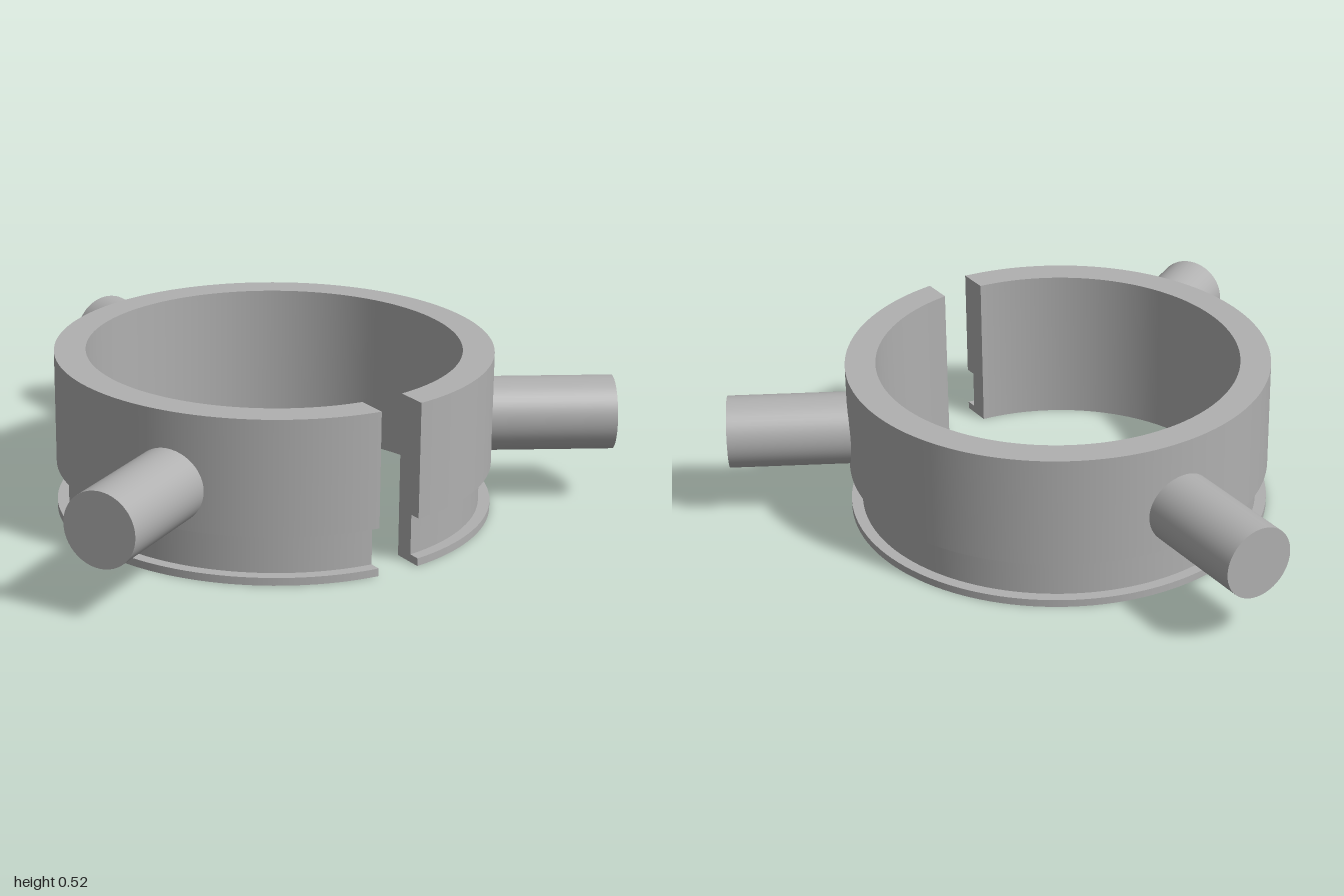
import * as THREE from 'three';

const CENTRE_Z = 0.195;   // ring axis
const HALF_SLOT = 0.072;  // half width of the parallel-sided front slot
const OUTER = 0.697, INNER = 0.597, GROOVE = 0.66;

// Sweeps a (radius, height) profile round the y axis, leaving the slot open at +z.
function splitRing(profile, steps) {
  const pos = [], nor = [], idx = [];
  const point = ([r, y], t) => {
    const a0 = Math.asin(HALF_SLOT / r);
    const a = a0 + (2 * Math.PI - 2 * a0) * t;
    return [r * Math.sin(a), y, r * Math.cos(a), a];
  };
  // Walls: smooth round the ring, sharp between profile edges
  profile.forEach((p, i) => {
    const q = profile[(i + 1) % profile.length];
    const len = Math.hypot(q[0] - p[0], q[1] - p[1]);
    const nr = (q[1] - p[1]) / len, ny = -(q[0] - p[0]) / len;
    const base = pos.length / 3;
    for (let s = 0; s <= steps; s++) {
      for (const c of [p, q]) {
        const [x, y, z, a] = point(c, s / steps);
        pos.push(x, y, z);
        nor.push(nr * Math.sin(a), ny, nr * Math.cos(a));
      }
      if (s < steps) {
        const k = base + 2 * s;
        idx.push(k, k + 2, k + 3, k, k + 3, k + 1);
      }
    }
  });
  // Flat slot faces
  const tris = THREE.ShapeUtils.triangulateShape(profile.map(([r, y]) => new THREE.Vector2(r, y)), []);
  for (const t of [0, 1]) {
    const base = pos.length / 3;
    for (const p of profile) {
      pos.push(...point(p, t).slice(0, 3));
      nor.push(t ? 1 : -1, 0, 0);
    }
    for (const [a, b, c] of tris) {
      if (t) idx.push(base + a, base + c, base + b);
      else idx.push(base + a, base + b, base + c);
    }
  }
  const g = new THREE.BufferGeometry();
  g.setAttribute('position', new THREE.Float32BufferAttribute(pos, 3));
  g.setAttribute('normal', new THREE.Float32BufferAttribute(nor, 3));
  g.setIndex(idx);
  return g;
}

export function createModel() {
  const model = new THREE.Group();
  model.name = 'splitCollar';
  const grey = new THREE.MeshStandardMaterial({ color: 0xb0b0b0 });
  grey.name = 'grey';

  // Collar with a groove above its thin bottom flange (counter-clockwise profile)
  const profile = [
    [INNER, 0], [OUTER, 0], [OUTER, 0.025], [GROOVE, 0.025],
    [GROOVE, 0.155], [OUTER, 0.155], [OUTER, 0.525], [INNER, 0.525],
  ];
  const collar = new THREE.Mesh(splitRing(profile, 128), grey);
  collar.name = 'collar';
  collar.position.z = CENTRE_Z;
  model.add(collar);

  // Three radial pegs, rooted inside the collar wall
  const start = 0.64, end = 1.088;
  const pegGeometry = new THREE.CylinderGeometry(0.119, 0.119, end - start, 48);
  pegGeometry.rotateX(Math.PI / 2).translate(0, 0, (start + end) / 2);
  const pegs = { backPeg: Math.PI, leftPeg: Math.PI / 3, rightPeg: -Math.PI / 3 };
  for (const [name, angle] of Object.entries(pegs)) {
    const peg = new THREE.Mesh(pegGeometry, grey);
    peg.name = name;
    peg.position.set(0, 0.288, CENTRE_Z);
    peg.rotation.y = angle;
    model.add(peg);
  }
  return model;
}
